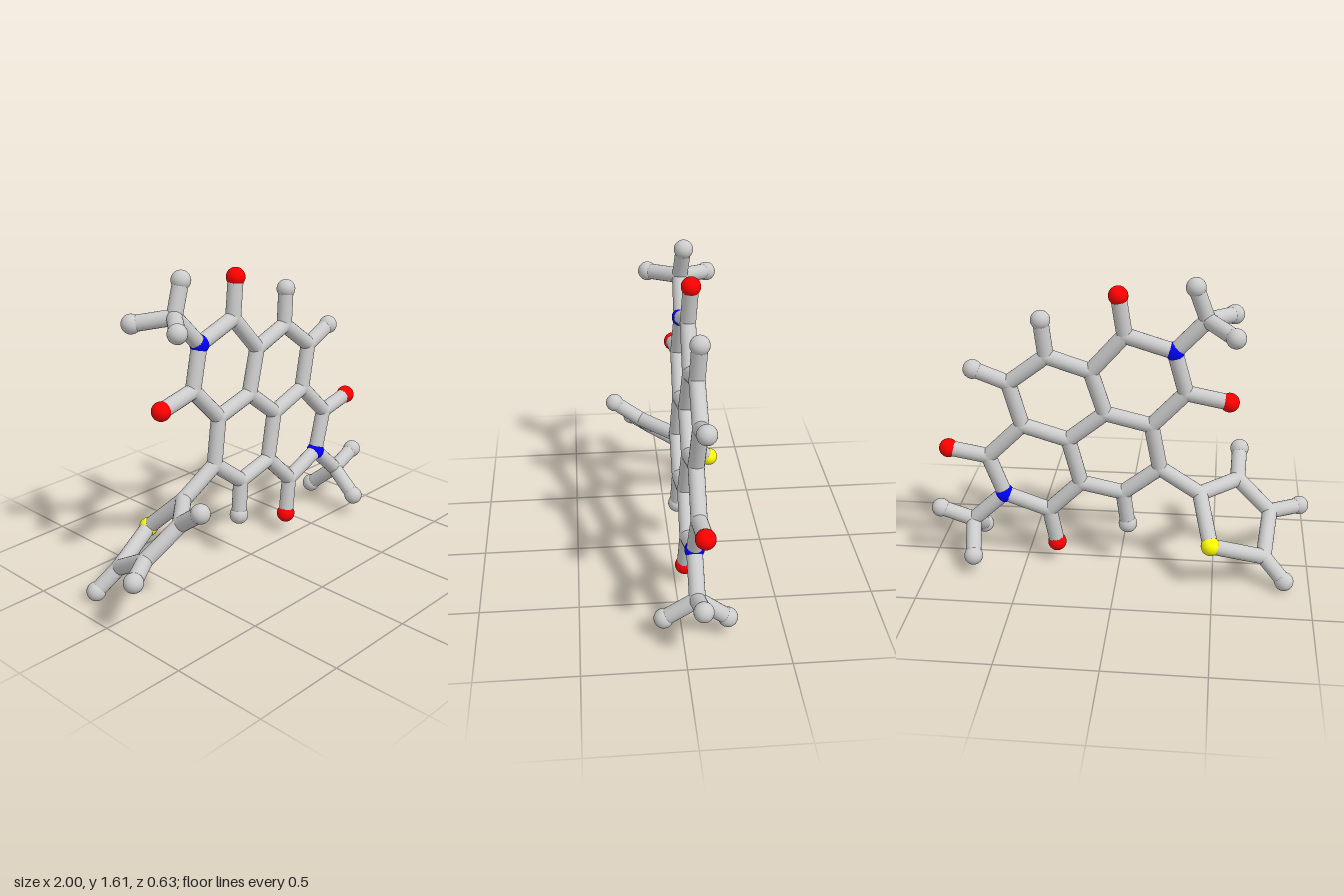
import * as THREE from 'three';

const BOND_R = 0.04, BALL_R = 0.049;
const grey = new THREE.MeshStandardMaterial({ color: 0xcccccc });
const colors = {
  oxygen: new THREE.MeshStandardMaterial({ color: 0xff0000 }),
  nitrogen: new THREE.MeshStandardMaterial({ color: 0x0000ff }),
  sulfur: new THREE.MeshStandardMaterial({ color: 0xffff00 }),
};

// The fused rings lie in one slightly tilted plane
const flat = (x, y) => [x, y, -0.036 - 0.045 * y - 0.025 * x];

// Atoms: the letters before the digits give the element
const atoms = {
  // fused ring core
  C1: flat(0.14, 1.115), C2: flat(-0.165, 0.825), C3: flat(0.07, 0.885),
  C4: flat(0.36, 1.19), C5: flat(0.555, 1.04), C6: flat(0.495, 0.805),
  C7: flat(0.26, 0.73), C8: flat(0.68, 0.62), C9: flat(0.37, 0.31),
  C10: flat(0.2, 0.48), C11: flat(-0.02, 0.43), C12: flat(-0.21, 0.58),
  C17: flat(-0.03, 1.31), C18: flat(-0.335, 1.01),
  N1: flat(-0.275, 1.232), N2: flat(0.605, 0.4),
  O1: flat(0, 1.513), O2: flat(-0.553, 0.965), O3: flat(0.885, 0.66), O4: flat(0.335, 0.11),
  H1: flat(0.38, 1.38), H2: flat(0.73, 1.11), H3: flat(-0.045, 0.24),
  // upper methyl group
  C19: [-0.43, 1.4, -0.09],
  H4: [-0.37, 1.565, -0.103], H5: [-0.56, 1.38, 0.07], H6: [-0.568, 1.365, -0.243],
  // lower methyl group
  C20: [0.78, 0.235, -0.067],
  H7: [0.952, 0.3, -0.078], H8: [0.76, 0.118, 0.093], H9: [0.755, 0.1, -0.22],
  // five-sided side ring
  C13: [-0.42, 0.45, -0.07], C14: [-0.615, 0.45, 0.115], C15: [-0.79, 0.3, 0.05],
  C16: [-0.76, 0.16, -0.185], S1: [-0.485, 0.255, -0.268],
  H10: [-0.62, 0.56, 0.262], H11: [-0.95, 0.288, 0.153], H12: [-0.868, 0.05, -0.237],
};

// Each chain is a run of bonded atoms
const chains = {
  upperImideRing: 'C1 C17 N1 C18 C2 C3 C1',
  upperRightRing: 'C1 C4 C5 C6 C7 C3',
  lowerImideRing: 'C6 C8 N2 C9 C10 C7',
  lowerLeftRing: 'C10 C11 C12 C2',
  sideRing: 'C12 C13 C14 C15 C16 S1 C13',
  upperMethyl: 'N1 C19 H4|C19 H5|C19 H6',
  lowerMethyl: 'N2 C20 H7|C20 H8|C20 H9',
  oxygenArms: 'C17 O1|C18 O2|C8 O3|C9 O4',
  hydrogenArms: 'C4 H1|C5 H2|C11 H3|C14 H10|C15 H11|C16 H12',
};

const point = (id) => new THREE.Vector3(...atoms[id]);

function bond(a, b) {
  const dir = point(b).sub(point(a));
  const geo = new THREE.CylinderGeometry(BOND_R, BOND_R, dir.length(), 20, 1, true);
  const mesh = new THREE.Mesh(geo, grey);
  mesh.name = 'bond';
  mesh.position.copy(point(a)).addScaledVector(dir, 0.5);
  mesh.quaternion.setFromUnitVectors(new THREE.Vector3(0, 1, 0), dir.normalize());
  return mesh;
}

export function createModel() {
  const model = new THREE.Group();
  model.name = 'moleculeModel';

  // Bonds
  for (const [name, text] of Object.entries(chains)) {
    const group = new THREE.Group();
    group.name = name;
    for (const run of text.split('|')) {
      const ids = run.split(' ');
      for (let i = 1; i < ids.length; i++) group.add(bond(ids[i - 1], ids[i]));
    }
    model.add(group);
  }

  // Atom balls; carbon is a joint barely wider than the bonds
  const ball = new THREE.SphereGeometry(BALL_R, 24, 16);
  const joint = new THREE.SphereGeometry(BOND_R + 0.001, 24, 16);
  const names = { C: 'carbon', H: 'hydrogen', O: 'oxygen', N: 'nitrogen', S: 'sulfur' };
  const balls = new THREE.Group();
  balls.name = 'atoms';
  for (const id of Object.keys(atoms)) {
    const name = names[id[0]];
    const mesh = new THREE.Mesh(name === 'carbon' ? joint : ball, colors[name] || grey);
    mesh.name = name + 'Ball';
    mesh.position.copy(point(id));
    balls.add(mesh);
  }
  model.add(balls);
  return model;
}
